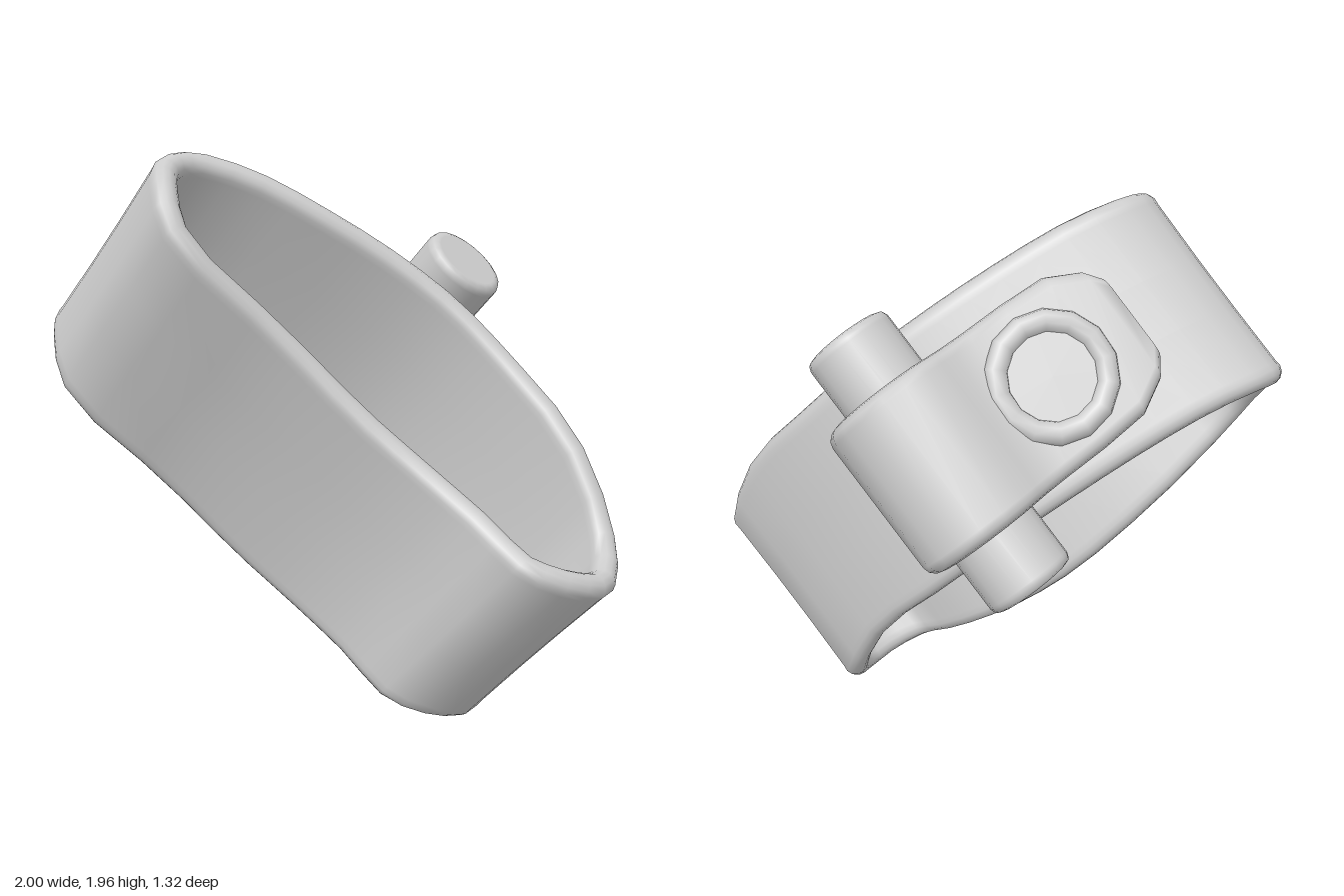
import * as THREE from 'three';

const V = (x, y, z) => new THREE.Vector3(x, y, z);
const material = new THREE.MeshStandardMaterial({ color: 0xcccccc });

// Working frame: A runs across the band, U along its back, W points out of the back
const A = V(0.70, 0.707, 0.105).normalize();
const U = V(-0.707, 0.70, 0).normalize();
const W = U.clone().cross(A).normalize();
const at = (u, w, a) => V(0, 0, 0).addScaledVector(U, u).addScaledVector(W, w).addScaledVector(A, a);

// Skin a row of equal cross-sections; ends are joined or capped
function loft(rings, closed) {
  const n = rings[0].length, m = rings.length, pos = [], idx = [];
  rings.flat().forEach(p => pos.push(p.x, p.y, p.z));
  for (let i = 0; i < (closed ? m : m - 1); i++) {
    for (let j = 0; j < n; j++) {
      const a = i * n + j, b = i * n + (j + 1) % n;
      const c = ((i + 1) % m) * n + j, d = ((i + 1) % m) * n + (j + 1) % n;
      idx.push(a, b, c, b, d, c);
    }
  }
  if (!closed) {
    for (let j = 1; j < n - 1; j++) {
      const e = (m - 1) * n;
      idx.push(0, j + 1, j, e, e + j, e + j + 1);
    }
  }
  // Turn faces outward using the enclosed volume
  let vol = 0;
  const P = i => V(pos[3 * i], pos[3 * i + 1], pos[3 * i + 2]);
  for (let i = 0; i < idx.length; i += 3) vol += P(idx[i]).dot(P(idx[i + 1]).cross(P(idx[i + 2])));
  if (vol < 0) idx.reverse();
  const g = new THREE.BufferGeometry();
  g.setAttribute('position', new THREE.Float32BufferAttribute(pos, 3));
  g.setIndex(idx);
  g.computeVertexNormals();
  return g;
}

// Wavy band: wall with softly rounded edges
function bandGeometry() {
  const rim = new THREE.CatmullRomCurve3([
    V(-0.42, 1.84, 0.59), V(-0.30, 1.65, 0.66), V(-0.05, 1.33, 0.46), V(0.20, 1.05, 0.34),
    V(0.40, 0.88, 0.29), V(0.60, 0.74, 0.29), V(0.80, 0.61, 0.33), V(0.94, 0.535, 0.22),
    V(1.0, 0.51, 0.05), V(0.94, 0.63, -0.15), V(0.77, 0.95, -0.235), V(0.50, 1.23, -0.26),
    V(0.30, 1.43, -0.22), V(0.10, 1.60, -0.12), V(-0.10, 1.75, 0.02), V(-0.30, 1.88, 0.17),
    V(-0.46, 1.945, 0.34), V(-0.48, 1.92, 0.48)
  ], true, 'centripetal');
  const r = 0.047, half = 0.355, top = [];
  top.push([0.041, 0.1]);
  for (let k = 0; k <= 8; k++) {
    const t = THREE.MathUtils.degToRad(-20 + k * 27.5);
    top.push([r * Math.cos(t), half + r * Math.sin(t)]);
  }
  top.push([-0.041, 0.1]);
  const section = [...top, ...top.map(([d, a]) => [-d, -a])];
  const rings = [];
  for (let i = 0; i < 40; i++) {
    const p = rim.getPoint(i / 40);
    const out = rim.getTangent(i / 40).cross(A).normalize();
    rings.push(section.map(([d, a]) =>
      p.clone().addScaledVector(out, d - r).addScaledVector(A, a - 0.37)));
  }
  return loft(rings, true);
}

// Strap: tail lying on the band, a loop around the pin, then a blend back into the band
const pinU = 0.896, pinW = 0.477, midA = 0.78;
function strapGeometry() {
  const pts = [[1.52, -0.01], [1.485, 0.02], [1.40, 0.095], [1.27, 0.205], [1.16, 0.31], [1.11, 0.40]];
  for (let k = 0; k <= 8; k++) {
    const t = k * Math.PI / 9;
    pts.push([pinU + 0.2 * Math.cos(t), pinW + 0.2 * Math.sin(t)]);
  }
  pts.push([0.695, 0.47], [0.67, 0.41], [0.62, 0.38], [0.54, 0.36]);
  const widths = [0.16, 0.22, 0.28];
  const rings = pts.map(([u, w], i) => {
    const [pu, pw] = pts[Math.max(i - 1, 0)], [qu, qw] = pts[Math.min(i + 1, pts.length - 1)];
    const l = Math.hypot(qu - pu, qw - pw);
    const nu = -(qw - pw) / l, nw = (qu - pu) / l;
    const h = (widths[i] ?? 0.29) - 0.047, ring = [];
    const thick = i === 0 ? 0.035 : 0.05;
    for (const side of [1, -1]) {
      for (let k = 0; k <= 6; k++) {
        const t = (k / 6 - 0.5) * Math.PI;
        const n = side * Math.sin(t) * thick, a = side * (h + Math.cos(t) * 0.047);
        ring.push(at(u + nu * n, w + nw * n, midA + a));
      }
    }
    return ring;
  });
  return loft(rings, false);
}

// Pin with softened ends and a small recess underneath
function pinGeometry() {
  const r = 0.157, h = 0.51, b = 0.025;
  const profile = [[0, -h + 0.04], [0.05, -h + 0.04], [0.06, -h], [0.07, -h], [r - b - 0.01, -h], [r - b, -h],
    [r - 0.007, -h + 0.007], [r, -h + b], [r, -h + b + 0.01], [r, h - b - 0.01], [r, h - b],
    [r - 0.007, h - 0.007], [r - b, h], [r - b - 0.01, h], [0, h]];
  return new THREE.LatheGeometry(profile.map(([x, y]) => new THREE.Vector2(x, y)), 20);
}

export function createModel() {
  const model = new THREE.Group();
  const add = (name, geometry, parent = model) => {
    const mesh = new THREE.Mesh(geometry, material);
    mesh.name = name;
    parent.add(mesh);
    return mesh;
  };

  add('band', bandGeometry());
  add('strap', strapGeometry());

  const pin = add('pin', pinGeometry());
  pin.quaternion.setFromUnitVectors(V(0, 1, 0), A);
  pin.position.copy(at(pinU, pinW, midA));

  // Round stud on the strap tail: raised ring around a flat disc
  const stud = new THREE.Group();
  stud.name = 'stud';
  stud.quaternion.setFromUnitVectors(V(0, 0, 1), at(0.66, 0.75, 0).normalize());
  stud.position.copy(at(1.295, 0.25, midA));
  add('studRing', new THREE.TorusGeometry(0.185, 0.042, 10, 14), stud);
  const disc = add('studDisc', new THREE.CylinderGeometry(0.18, 0.18, 0.06, 14), stud);
  disc.rotation.x = Math.PI / 2;
  disc.position.z = -0.015;
  model.add(stud);

  // Rest on the ground
  const box = new THREE.Box3().setFromObject(model);
  const c = box.getCenter(V(0, 0, 0));
  model.position.set(-c.x, -box.min.y, -c.z);
  return model;
}
